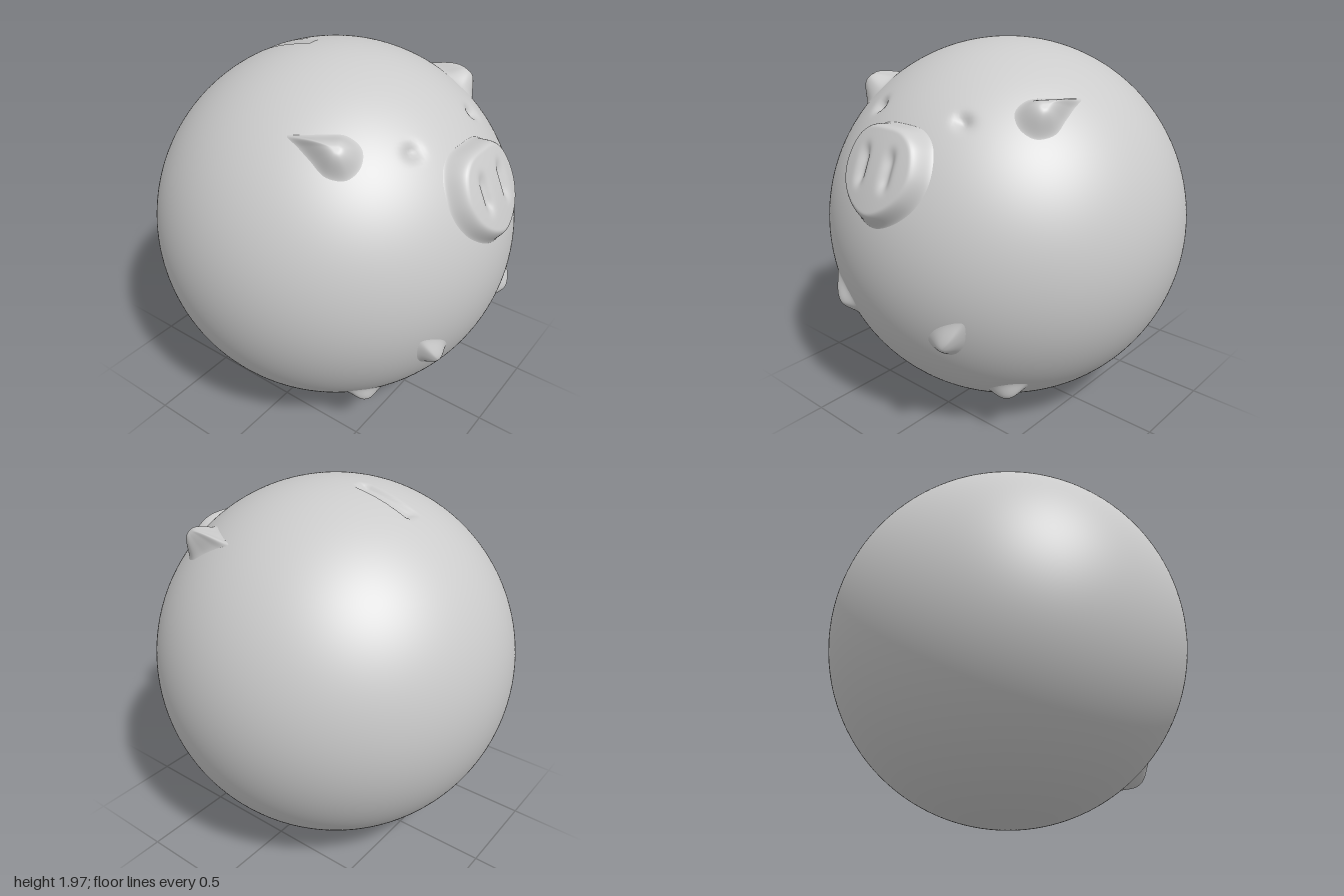
import * as THREE from 'three';

const R = 0.985;
const C = new THREE.Vector3(0, R, -0.015);
const smooth = THREE.MathUtils.smoothstep;
const material = new THREE.MeshStandardMaterial({ color: 0xcccccc });

function makeMesh(name, geometry) {
  geometry.computeVertexNormals();
  const mesh = new THREE.Mesh(geometry, material);
  mesh.name = name;
  return mesh;
}

// Ball with eye sockets and a coin slot pressed into it
function makeBody() {
  const geo = new THREE.SphereGeometry(R, 256, 160);
  const pos = geo.attributes.position;
  const p = new THREE.Vector3();
  for (let i = 0; i < pos.count; i++) {
    p.fromBufferAttribute(pos, i);
    let dent = 0;
    if (p.z > 0) {
      const dx = Math.abs(p.x) - 0.28, dy = p.y - 0.69, dz = p.z - 0.64;
      dent += 0.035 * Math.exp(-((dx / 0.04) ** 2 + (dy / 0.035) ** 2 + (dz / 0.035) ** 2));
    }
    if (p.y > 0) {
      const across = 1 - smooth(Math.abs(p.x + 0.005), 0.022, 0.05);
      const along = 1 - smooth(Math.abs(p.z + 0.3), 0.13, 0.17);
      dent += 0.022 * across * along;
    }
    p.setLength(R - dent);
    pos.setXYZ(i, p.x, p.y, p.z);
  }
  // join the seam so the shading runs on smoothly
  geo.translate(C.x, C.y, C.z);
  const mesh = makeMesh('body', geo);
  const n = geo.attributes.normal;
  for (let j = 0; j <= 160; j++) {
    const a = j * 257, b = a + 256;
    const v = new THREE.Vector3().fromBufferAttribute(n, a)
      .add(new THREE.Vector3().fromBufferAttribute(n, b)).normalize();
    n.setXYZ(a, v.x, v.y, v.z);
    n.setXYZ(b, v.x, v.y, v.z);
  }
  return mesh;
}

// Raised patch on the ball: half outline (bottom to top) mirrored about its axis,
// swept in rings from its peak to its rim, lifted by height(rho, a, b)
function makeBump(name, at, toward, half, height, rings = 24, sides = 72) {
  const d = new THREE.Vector3(...at).sub(C).normalize();
  const v = new THREE.Vector3(...toward).sub(new THREE.Vector3(...at));
  v.addScaledVector(d, -v.dot(d)).normalize();
  const u = new THREE.Vector3().crossVectors(v, d);
  const mirrored = half.slice(1, -1).reverse().map(([a, b]) => [-a, b]);
  const loop = [...half, ...mirrored].map(([a, b]) => new THREE.Vector3(a, b, 0));
  const outline = new THREE.CatmullRomCurve3(loop, true).getPoints(sides);
  const verts = [], index = [];
  const add = (rho, a, b) => {
    const p = d.clone().addScaledVector(u, a).addScaledVector(v, b);
    p.setLength(R - 0.003 + height(rho, a, b)).add(C);
    verts.push(p.x, p.y, p.z);
  };
  add(0, 0, 0);
  for (let r = 1; r <= rings; r++) {
    const rho = r / rings;
    for (let s = 0; s < sides; s++) add(rho, outline[s].x * rho, outline[s].y * rho);
  }
  for (let s = 0; s < sides; s++) {
    const t = (s + 1) % sides;
    index.push(0, 1 + s, 1 + t);
    for (let r = 0; r < rings - 1; r++) {
      const i = 1 + r * sides, o = i + sides;
      index.push(i + s, o + s, o + t, i + s, o + t, i + t);
    }
  }
  const geo = new THREE.BufferGeometry();
  geo.setAttribute('position', new THREE.Float32BufferAttribute(verts, 3));
  geo.setIndex(index);
  return makeMesh(name, geo);
}

const dome = (h, inner) => (rho) => h * (1 - smooth(rho, inner, 1));

// Flat-faced snout with two upright nostrils
function snoutHeight(rho, a, b) {
  const plate = (0.075 + 0.06 * b + 0.2 * b * b) * (1 - smooth(rho, 0.68, 1));
  const nostril = Math.exp(-(((Math.abs(a) - 0.08) / 0.026) ** 2) - ((b - 0.02) / 0.085) ** 4);
  return plate - 0.025 * nostril;
}

export function createModel() {
  const group = new THREE.Group();
  group.name = 'roundPig';
  group.add(makeBody());

  const snoutOutline = [[0, -0.27], [0.12, -0.23], [0.24, -0.12], [0.285, 0.02],
    [0.24, 0.19], [0.15, 0.265], [0, 0.28]];
  group.add(makeBump('snout', [0, 1.425, 0.87], [0, 1.64, 0.73], snoutOutline, snoutHeight, 44, 120));

  const earOutline = [[0, -0.135], [0.09, -0.1], [0.12, 0], [0.075, 0.11], [0.035, 0.2], [0, 0.28]];
  const armOutline = [[0, -0.12], [0.075, -0.085], [0.095, 0], [0.065, 0.11], [0, 0.19]];
  const legOutline = [[0, -0.14], [0.06, -0.1], [0.085, 0], [0.06, 0.1], [0, 0.15]];

  for (const [side, s] of [['left', 1], ['right', -1]]) {
    group.add(
      makeBump(side + 'Ear', [s * 0.55, 1.7, 0.4], [s * 0.61, 1.76, 0.15], earOutline, dome(0.09, 0.1)),
      makeBump(side + 'Arm', [s * 0.36, 0.68, 0.85], [s * 0.47, 0.82, 0.83], armOutline, dome(0.055, 0)),
      makeBump(side + 'Leg', [s * 0.455, 0.295, 0.52], [s * 0.56, 0.355, 0.5], legOutline, dome(0.05, 0.05)),
    );
  }
  return group;
}
